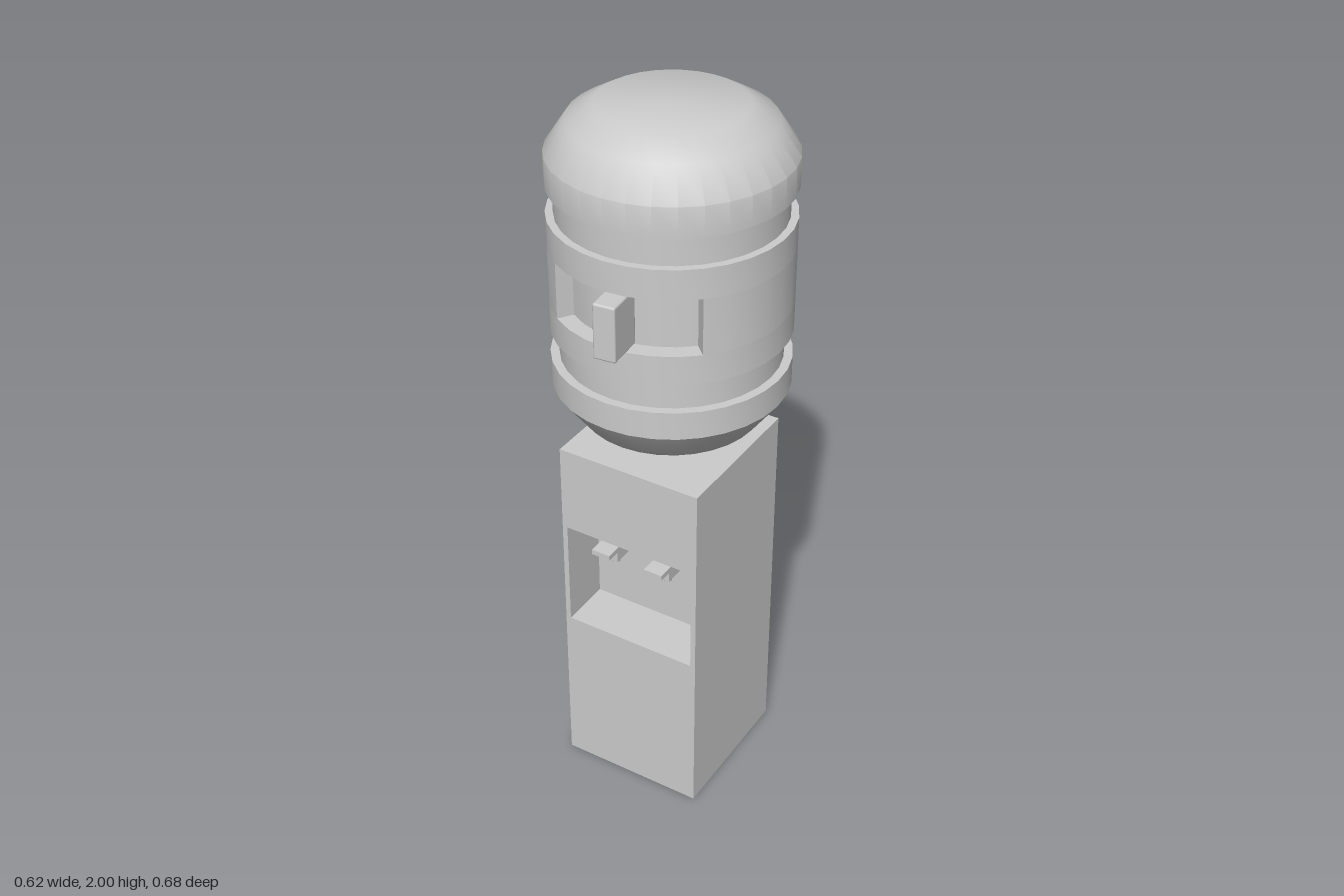
import * as THREE from 'three';
import { toCreasedNormals } from 'three/addons/utils/BufferGeometryUtils.js';
import { RoundedBoxGeometry } from 'three/addons/geometries/RoundedBoxGeometry.js';

const SEGMENTS = 32;
const STEP = (Math.PI * 2) / SEGMENTS;
const material = new THREE.MeshStandardMaterial({ color: 0xcccccc });
const thinMaterial = new THREE.MeshStandardMaterial({ color: 0xcccccc, side: THREE.DoubleSide });

function add(parent, name, geometry, x = 0, y = 0, z = 0, mat = material) {
  const mesh = new THREE.Mesh(geometry, mat);
  mesh.name = name;
  mesh.position.set(x, y, z);
  parent.add(mesh);
  return mesh;
}

// Turned surface covering a whole number of the bottle's facets
function turned(profile, first = 0, count = SEGMENTS) {
  const points = profile.map(([r, y]) => new THREE.Vector2(r, y));
  return toCreasedNormals(new THREE.LatheGeometry(points, count, first * STEP, count * STEP), 0.6);
}

function createCabinet() {
  const cabinet = new THREE.Group();
  cabinet.name = 'cabinet';
  const left = -0.21, right = 0.207, height = 1.06, back = -0.24, niche = 0.04, front = 0.187;
  const width = right - left, middle = (left + right) / 2;

  // Solid rear half, whose front is the back wall of the niche
  add(cabinet, 'cabinetBody', new THREE.BoxGeometry(width, height, niche - back), middle, height / 2, (niche + back) / 2);

  // Front half with the dispensing niche cut through it
  const rectangle = (target, x0, y0, x1, y1) =>
    target.moveTo(x0, y0).lineTo(x1, y0).lineTo(x1, y1).lineTo(x0, y1).closePath();
  const face = new THREE.Shape();
  rectangle(face, left, 0, right, height);
  const hole = new THREE.Path();
  rectangle(hole, -0.195, 0.495, 0.192, 0.81);
  face.holes.push(hole);
  add(cabinet, 'cabinetFront',
    new THREE.ExtrudeGeometry(face, { depth: front - niche, bevelEnabled: false }), 0, 0, niche);

  // Pair of taps inside the niche
  for (const x of [-0.083, 0.08]) {
    const tap = new THREE.Group();
    tap.name = 'tap';
    tap.position.set(x, 0, 0);
    add(tap, 'tapStem', new THREE.BoxGeometry(0.028, 0.04, 0.03), 0, 0.79, 0.11);
    add(tap, 'tapBody', new THREE.BoxGeometry(0.045, 0.045, 0.11), 0, 0.745, 0.095);
    add(tap, 'tapLever', new THREE.BoxGeometry(0.055, 0.015, 0.11), 0, 0.768, 0.142);
    add(tap, 'tapSpout', new THREE.CylinderGeometry(0.011, 0.011, 0.03, 12), 0, 0.715, 0.12);
    cabinet.add(tap);
  }
  return cabinet;
}

function createBottle() {
  const bottle = new THREE.Group();
  bottle.name = 'bottle';
  bottle.position.z = -0.03;
  const outer = 0.31, inner = 0.265, low = 1.487, high = 1.64;

  // Neck, shoulder and lower ring
  add(bottle, 'bottleLower', turned([
    [0.103, 1.05], [0.103, 1.09], [0.24, 1.155], [outer, 1.25], [outer, 1.327],
    [0.287, 1.327], [0.287, 1.408], [outer, 1.408], [outer, low],
  ]));
  // Upper ring and domed end
  add(bottle, 'bottleUpper', turned([
    [outer, high], [outer, 1.72], [0.29, 1.72], [0.29, 1.8], [outer, 1.8],
    [outer, 1.88], [0.257, 1.96], [0.187, 2], [0, 2],
  ]));
  // Middle band, left open where the grip is sunk in
  add(bottle, 'bottleBand', turned([[outer, low], [outer, high]], 4, 25));
  add(bottle, 'gripRecess', turned([[outer, low], [inner, low], [inner, high], [outer, high]], -3, 7));

  // Radial end walls of the recess
  for (const facet of [-3, 4]) {
    const r = (outer + inner) / 2, angle = facet * STEP;
    const wall = add(bottle, 'recessWall', new THREE.PlaneGeometry(outer - inner, high - low),
      r * Math.sin(angle), (low + high) / 2, r * Math.cos(angle), thinMaterial);
    wall.rotation.y = angle - Math.PI / 2;
  }

  // Upright handle standing out of the recess
  const r = 0.315, angle = STEP / 2;
  const handle = add(bottle, 'handle', new RoundedBoxGeometry(0.06, high - low - 0.002, 0.108, 2, 0.006),
    r * Math.sin(angle), (low + high) / 2, r * Math.cos(angle));
  handle.rotation.y = angle;
  return bottle;
}

export function createModel() {
  const model = new THREE.Group();
  model.name = 'waterCooler';
  model.add(createCabinet(), createBottle());
  return model;
}
